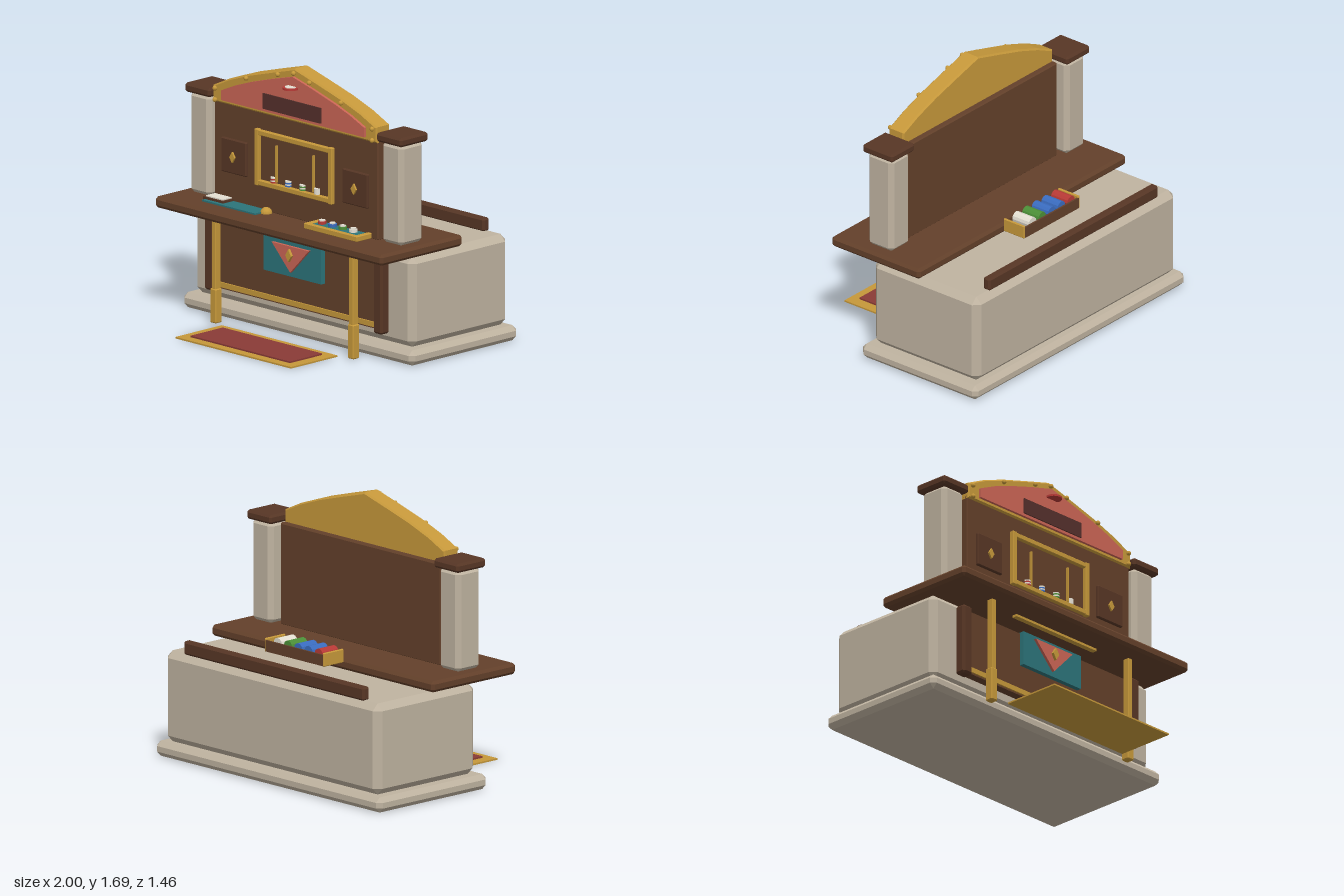
import * as THREE from 'three';
import { ConvexGeometry } from 'three/addons/geometries/ConvexGeometry.js';

const mat = (color) => new THREE.MeshStandardMaterial({ color, flatShading: true });
const M = {
  stone: mat(0xbfb3a0), wood: mat(0x63402a), dark: mat(0x573625), sign: mat(0x55302c),
  gold: mat(0xc6983a), coral: mat(0xcb6555), teal: mat(0x2c747a), rug: mat(0x8a3b36),
  red: mat(0xb83a36), blue: mat(0x3a6cc0), green: mat(0x4c9038), white: mat(0xe4dfd2),
};

// Box with every edge chamfered by c
function chamferBox(w, h, d, c) {
  const points = [];
  for (const x of [-1, 1]) for (const y of [-1, 1]) for (const z of [-1, 1]) {
    for (let k = 0; k < 3; k++) {
      const inset = [c, c, c];
      inset[k] = 0;
      points.push(new THREE.Vector3(
        x * (w / 2 - inset[0]), y * (h / 2 - inset[1]), z * (d / 2 - inset[2])));
    }
  }
  return new ConvexGeometry(points);
}

export function createModel() {
  const model = new THREE.Group();
  model.name = 'gamingBooth';

  const add = (name, geometry, material, x = 0, y = 0, z = 0, parent = model) => {
    const mesh = new THREE.Mesh(geometry, material);
    mesh.name = name;
    mesh.position.set(x, y, z);
    parent.add(mesh);
    return mesh;
  };
  // Box given by its extents, chamfered when c > 0
  const box = (name, material, [x0, x1], [y0, y1], [z0, z1], c = 0, parent = model) => {
    const size = [x1 - x0, y1 - y0, z1 - z0];
    const geometry = c ? chamferBox(...size, c) : new THREE.BoxGeometry(...size);
    return add(name, geometry, material, (x0 + x1) / 2, (y0 + y1) / 2, (z0 + z1) / 2, parent);
  };
  // Flat outline extruded forward from z
  const plate = (name, material, points, z, depth, bevel = 0) => {
    const shape = new THREE.Shape(points.map(([x, y]) => new THREE.Vector2(x, y)));
    const geometry = new THREE.ExtrudeGeometry(shape, {
      depth: depth - 2 * bevel, bevelEnabled: bevel > 0, bevelSize: bevel,
      bevelThickness: bevel, bevelOffset: -bevel, bevelSegments: 1,
    });
    return add(name, geometry, material, 0, 0, z + bevel);
  };
  const diamond = (name, x, y, z, w, h, depth) =>
    plate(name, M.gold, [[x, y - h], [x + w, y], [x, y + h], [x - w, y]], z, depth);

  // Stone base
  box('plinth', M.stone, [-1, 1], [0.005, 0.1], [-0.73, 0.185], 0.03);
  box('body', M.stone, [-0.95, 0.95], [0.1, 0.67], [-0.7, 0.135], 0.042);
  box('rearRail', M.dark, [-0.8, 0.8], [0.665, 0.75], [-0.675, -0.62], 0.012);
  box('counter', M.wood, [-0.985, 0.985], [0.68, 0.75], [-0.27, 0.43], 0.018);

  // Front panel with its posts, trim and banner
  box('frontPanel', M.wood, [-0.7, 0.7], [0.19, 0.605], [0.125, 0.19]);
  box('frontPanelTrim', M.gold, [-0.69, 0.69], [0.2, 0.232], [0.18, 0.2]);
  box('bannerRail', M.gold, [-0.35, 0.35], [0.665, 0.68], [0.225, 0.26]);
  box('banner', M.teal, [-0.25, 0.25], [0.39, 0.61], [0.185, 0.222]);
  plate('bannerTriangle', M.coral, [[-0.16, 0.585], [0, 0.42], [0.16, 0.585]], 0.222, 0.018);
  diamond('bannerDiamond', 0, 0.53, 0.24, 0.025, 0.04, 0.018);

  // Back wall
  box('backWall', M.wood, [-0.71, 0.71], [0.745, 1.385], [0.05, 0.19], 0.008);

  for (const s of [-1, 1]) {
    const around = (x, half) => [s * x - half, s * x + half];
    box('frontPost', M.dark, around(0.73, 0.04), [0.168, 0.625], [0.145, 0.22], 0.014);
    box('legUpper', M.gold, around(0.595, 0.018), [0.2, 0.685], [0.262, 0.308], 0.004);
    box('legLower', M.gold, around(0.595, 0.026), [0.005, 0.22], [0.257, 0.313], 0.006);
    box('pillar', M.stone, around(0.83, 0.09), [0.745, 1.385], [0, 0.2], 0.028);
    box('pillarCap', M.dark, around(0.83, 0.11), [1.378, 1.435], [-0.02, 0.22], 0.014);
    box('wallPanel', M.dark, around(0.525, 0.108), [0.935, 1.15], [0.18, 0.208], 0.006);
    diamond('wallPanelDiamond', s * 0.525, 1.04, 0.205, 0.023, 0.035, 0.015);
    box('windowSide', M.gold, around(0.318, 0.017), [0.905, 1.26], [0.185, 0.218], 0.004);
    box('windowDivider', M.gold, around(0.16, 0.005), [0.95, 1.18], [0.185, 0.205]);
  }
  for (const y of [0.925, 1.24])
    box('windowRail', M.gold, [-0.335, 0.335], [y - 0.016, y + 0.016], [0.185, 0.216], 0.004);

  // Small banded stacks standing in the window
  [M.red, M.blue, M.green, M.white].forEach((m, i) => {
    for (let k = 0; k < 4; k++)
      add('windowChip', new THREE.CylinderGeometry(0.022, 0.022, 0.009, 12), k % 2 ? M.white : m,
        -0.187 + i * 0.125, 0.947 + k * 0.009, 0.192);
  });

  // Pediment with coral inset, studs, sign and medallion
  const mirror = (half) => [...half, ...half.filter(([x]) => x > 0).reverse().map(([x, y]) => [-x, y])];
  plate('pediment', M.gold, mirror([[0.71, 1.36], [0.71, 1.46], [0.57, 1.525], [0.4, 1.585],
    [0.2, 1.642], [0, 1.697]]), 0.085, 0.117, 0.01);
  plate('pedimentInset', M.coral, mirror([[0.62, 1.385], [0.62, 1.445], [0.5, 1.498], [0.36, 1.547],
    [0.18, 1.6], [0, 1.647]]), 0.195, 0.025);
  for (const [x, y] of mirror([[0.68, 1.375], [0.68, 1.447], [0.41, 1.56], [0.137, 1.635], [0, 1.668]]))
    add('stud', new THREE.SphereGeometry(0.015, 10, 8), M.gold, x, y, 0.212);
  box('signBoard', M.sign, [-0.25, 0.25], [1.402, 1.5], [0.2, 0.228]);
  add('medallionRim', new THREE.CylinderGeometry(0.05, 0.05, 0.012, 24), M.red, 0, 1.58, 0.235);
  add('medallionFace', new THREE.CylinderGeometry(0.036, 0.036, 0.004, 24), M.white, 0, 1.588, 0.235);

  // Things on the counter
  box('deskMat', M.teal, [-0.695, -0.237], [0.748, 0.76], [0.18, 0.306]);
  box('ledgerCover', M.dark, [-0.715, -0.54], [0.755, 0.773], [0.17, 0.28]);
  box('ledgerPages', M.white, [-0.7, -0.555], [0.765, 0.78], [0.175, 0.268]);
  add('bell', new THREE.SphereGeometry(0.037, 16, 8, 0, Math.PI * 2, 0, Math.PI / 2), M.gold,
    -0.225, 0.75, 0.222);

  const display = new THREE.Group();
  display.name = 'displayTray';
  model.add(display);
  box('trayFloor', M.teal, [0.21, 0.64], [0.75, 0.777], [0.18, 0.3], 0, display);
  box('trayFront', M.gold, [0.195, 0.655], [0.75, 0.785], [0.287, 0.317], 0.004, display);
  for (const x of [0.195, 0.623])
    box('trayEnd', M.gold, [x, x + 0.032], [0.75, 0.785], [0.18, 0.3], 0.004, display);
  [M.red, M.blue, M.green, M.white].forEach((m, i) => {
    const x = 0.265 + i * 0.09;
    add('displayChip', new THREE.CylinderGeometry(0.027, 0.027, 0.018, 12), m, x, 0.786, 0.228, display);
    add('displayChipTop', new THREE.CylinderGeometry(0.02, 0.02, 0.01, 6), M.white, x, 0.798, 0.228, display);
  });

  // Rear tray of chip rolls
  const rack = new THREE.Group();
  rack.name = 'chipRack';
  model.add(rack);
  box('rackFloor', M.wood, [-0.255, 0.255], [0.755, 0.775], [-0.495, -0.34], 0, rack);
  for (const z of [-0.5, -0.347])
    box('rackWall', M.wood, [-0.255, 0.255], [0.755, 0.825], [z, z + 0.012], 0, rack);
  for (const s of [-1, 1])
    box('rackEnd', M.gold, [s * 0.257 - 0.008, s * 0.257 + 0.008], [0.752, 0.838], [-0.5, -0.335], 0.005, rack);
  [M.red, M.blue, M.blue, M.green, M.white].forEach((m, i) => {
    const roll = add('chipRoll', new THREE.CylinderGeometry(0.037, 0.037, 0.13, 12), m,
      -0.2 + i * 0.091, 0.816, -0.418, rack);
    roll.rotation.x = Math.PI / 2;
  });

  // Rug
  box('rugBorder', M.gold, [-0.5, 0.5], [0.003, 0.013], [0.33, 0.725]);
  box('rugField', M.rug, [-0.43, 0.43], [0.01, 0.023], [0.39, 0.665]);

  return model;
}
